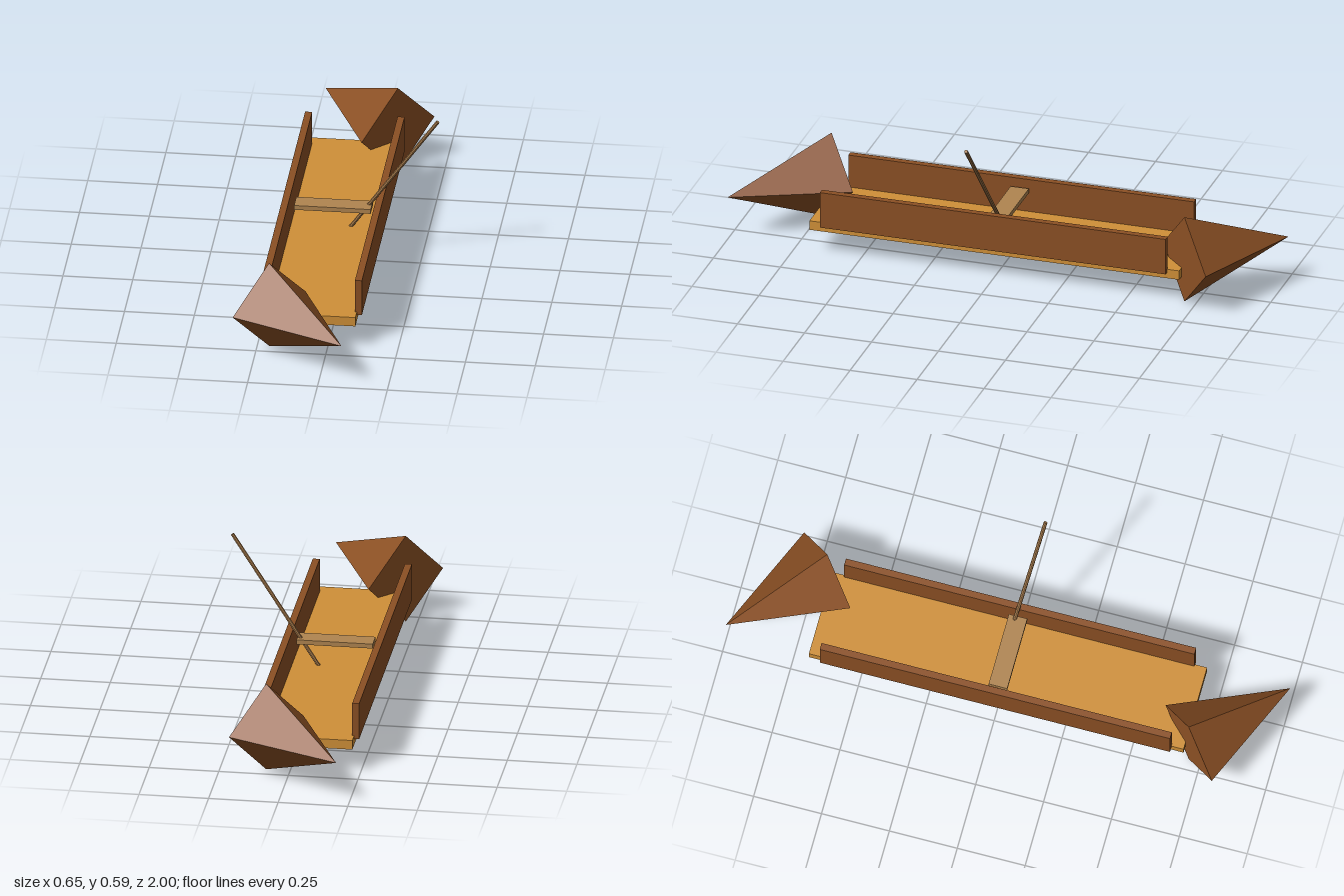
import * as THREE from 'three';

const CX = -0.061; // centre line of the hull

const mat = (color) => new THREE.MeshStandardMaterial({ color, flatShading: true });

export function createModel() {
  const model = new THREE.Group();
  model.name = 'boat';
  const hullMat = mat(0x8b5024);
  const floorMat = mat(0xd09038);
  const seatMat = mat(0xb08550);
  const poleMat = mat(0xa87c4c);

  const add = (name, geometry, material, x, y, z) => {
    const mesh = new THREE.Mesh(geometry, material);
    mesh.name = name;
    mesh.position.set(x, y, z);
    model.add(mesh);
    return mesh;
  };

  // Floor plank and cross seat
  add('floor', new THREE.BoxGeometry(0.32, 0.035, 1.38), floorMat, CX, 0.1075, 0);
  add('seat', new THREE.BoxGeometry(0.274, 0.017, 0.068), seatMat, CX, 0.2135, 0);

  // Side boards
  for (const s of [1, -1]) {
    const name = s > 0 ? 'leftSide' : 'rightSide';
    add(name, new THREE.BoxGeometry(0.025, 0.137, 1.29), hullMat, CX + s * 0.1655, 0.1815, 0);
  }

  // Four-sided pyramids at both ends, turned 45 degrees off the hull's axis
  for (const s of [1, -1]) {
    const cone = new THREE.ConeGeometry(0.165, 0.416, 4);
    cone.rotateX(Math.PI / 2);
    cone.rotateY(s > 0 ? Math.PI / 4 : (5 * Math.PI) / 4);
    add(s > 0 ? 'bow' : 'stern', cone, hullMat, CX, 0.167, s * 0.8525);
  }

  // Slanted pole, running from below the floor to above the left side
  const low = new THREE.Vector3(-0.071, 0.022, -0.033);
  const high = new THREE.Vector3(0.3165, 0.587, 0.036);
  const dir = high.clone().sub(low);
  const mid = low.clone().lerp(high, 0.5);
  const pole = add('pole', new THREE.CylinderGeometry(0.0069, 0.0069, dir.length(), 8), poleMat, mid.x, mid.y, mid.z);
  pole.quaternion.setFromUnitVectors(new THREE.Vector3(0, 1, 0), dir.normalize());

  return model;
}
